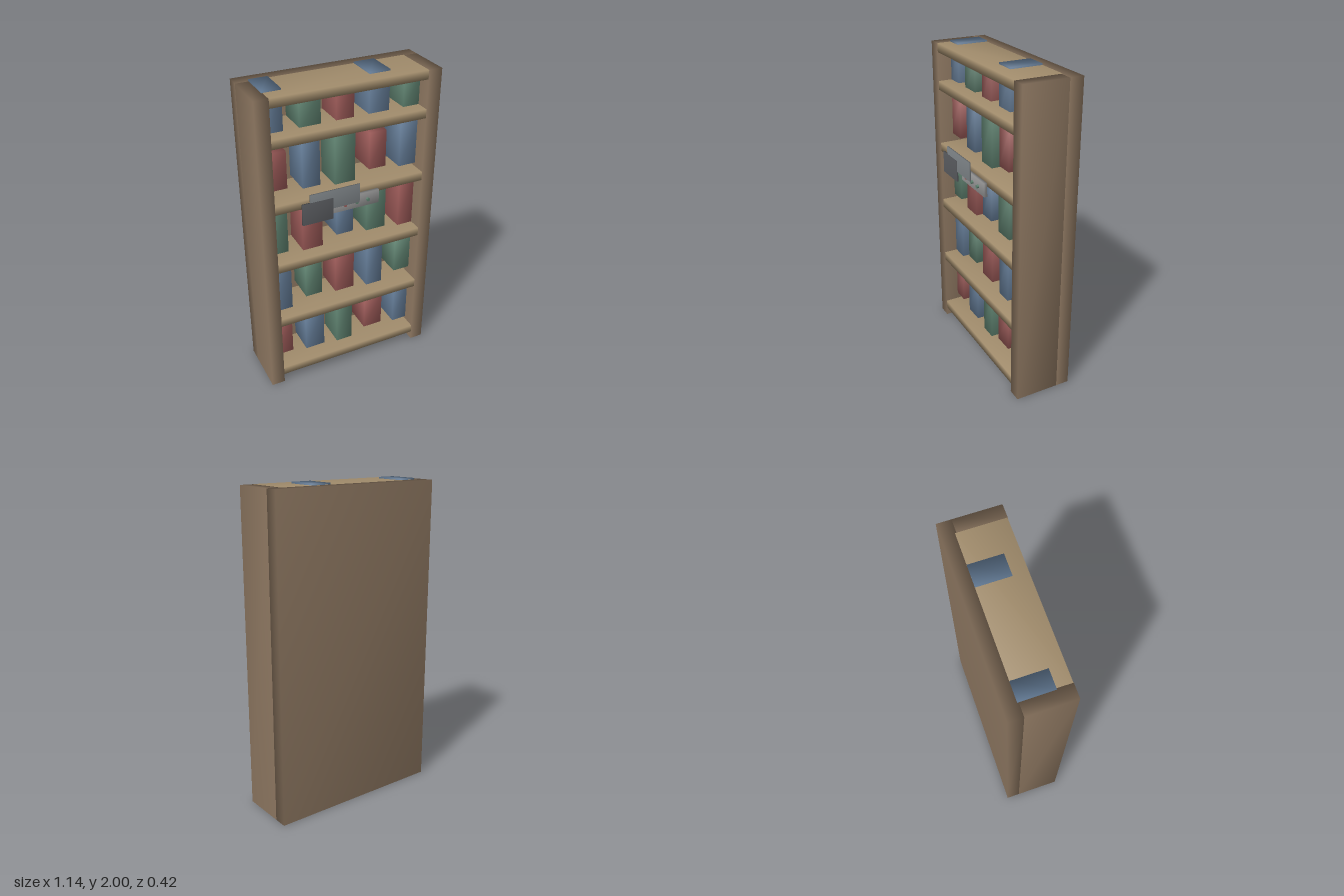
import * as THREE from 'three';
import { mergeVertices } from 'three/addons/utils/BufferGeometryUtils.js';

const paint = (color) => new THREE.MeshStandardMaterial({ color });

// Box given by its limits, with normals blended softly across the corners
function softBox(name, material, [x0, x1], [y0, y1], [z0, z1]) {
  let geometry = new THREE.BoxGeometry(x1 - x0, y1 - y0, z1 - z0);
  geometry.deleteAttribute('normal');
  geometry.deleteAttribute('uv');
  geometry = mergeVertices(geometry);
  geometry.computeVertexNormals();
  const mesh = new THREE.Mesh(geometry, material);
  mesh.name = name;
  mesh.position.set((x0 + x1) / 2, (y0 + y1) / 2, (z0 + z1) / 2);
  return mesh;
}

export function createModel() {
  const model = new THREE.Group();
  model.name = 'bookcase';

  const wood = paint(0x8c7660);
  const shelfWood = paint(0xa08b6b);
  const red = paint(0x9c5a58);
  const blue = paint(0x657d98);
  const green = paint(0x5f8270);
  const paleMetal = paint(0x9a9a9a);
  const plateMetal = paint(0x80868a);
  const darkMetal = paint(0x5a5c60);

  // Case: back panel and two sides
  model.add(softBox('backPanel', wood, [-0.57, 0.57], [0, 1.99], [-0.208, -0.122]));
  model.add(softBox('rightSide', wood, [-0.57, -0.484], [0, 1.99], [-0.122, 0.16]));
  model.add(softBox('leftSide', wood, [0.484, 0.57], [0, 1.99], [-0.122, 0.16]));

  // Shelves, bottom to top
  for (const y of [0.088, 0.493, 0.907, 1.313, 1.725, 1.963]) {
    model.add(softBox('shelf', shelfWood, [-0.484, 0.484], [y - 0.028, y + 0.028], [-0.13, 0.158]));
  }

  // Books: colour, height and width cycle along each row
  const books = new THREE.Group();
  books.name = 'books';
  const colors = [red, blue, green];
  const heights = [0.238, 0.291, 0.338];
  [0.281, 0.693, 1.103, 1.511, 1.831].forEach((y, row) => {
    for (let col = 0; col < 5; col++) {
      const x = (col - 2) * 0.2175;
      const w = (row + col) % 2 ? 0.066 : 0.056;
      const h = heights[(col - row + 6) % 3] / 2;
      books.add(softBox('book', colors[(col + row) % 3], [x - w, x + w], [y - h, y + h], [-0.13, 0.07]));
    }
  });
  model.add(books);

  // Control bar with three round buttons
  model.add(softBox('controlBar', paleMetal, [-0.132, 0.174], [1.218, 1.306], [0.158, 0.178]));
  [red, green, green].forEach((material, i) => {
    const button = new THREE.Mesh(new THREE.CylinderGeometry(0.0105, 0.0105, 0.016, 16), material);
    button.name = 'button';
    button.rotation.x = Math.PI / 2;
    button.position.set(-0.055 + i * 0.076, 1.26, 0.183);
    model.add(button);
  });

  // Two thin overlapping plates in front
  model.add(softBox('palePlate', plateMetal, [-0.285, 0.031], [1.27, 1.39], [0.194, 0.204]));
  model.add(softBox('darkPlate', darkMetal, [-0.337, -0.143], [1.203, 1.341], [0.197, 0.207]));

  return model;
}
